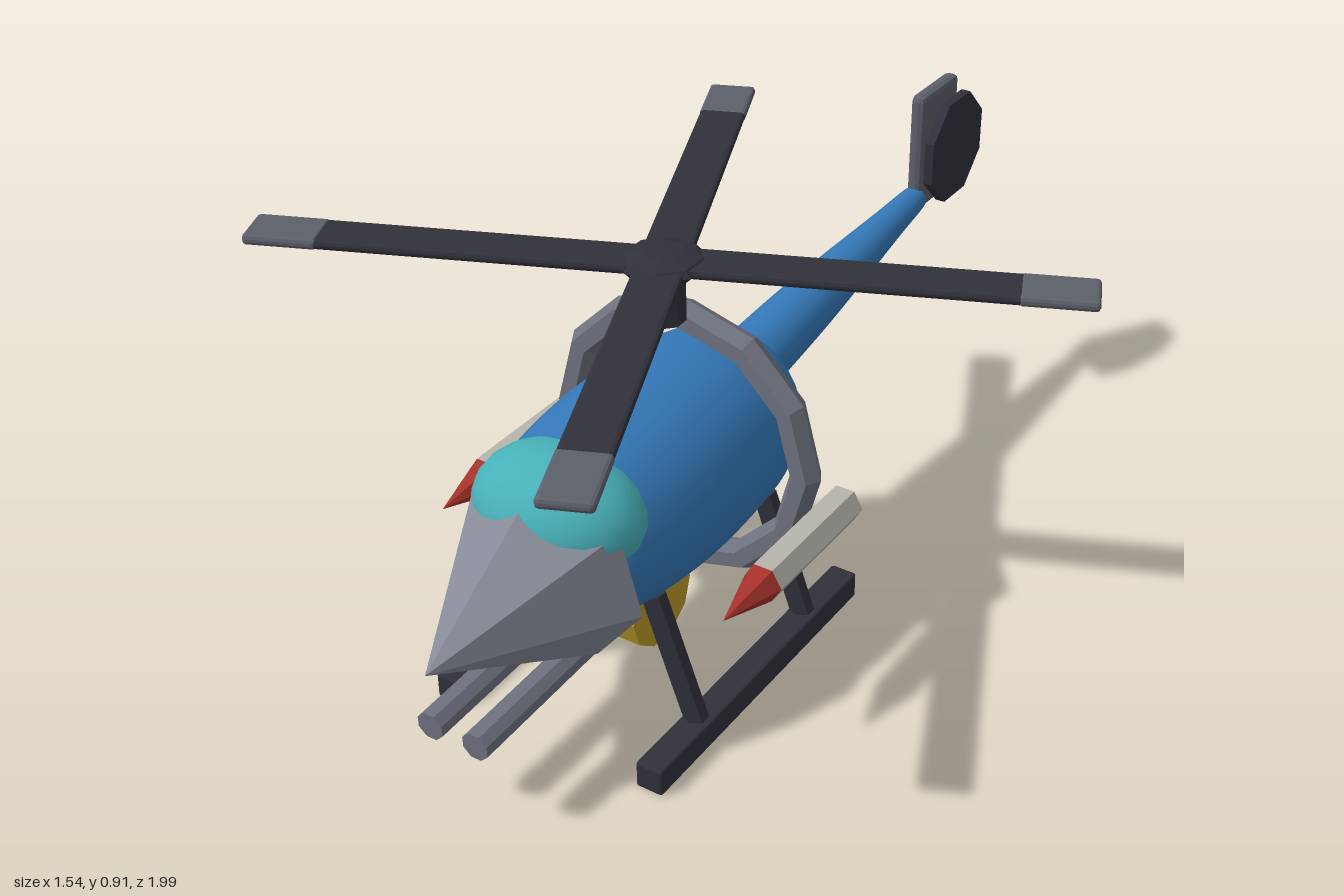
import * as THREE from 'three';
import { RoundedBoxGeometry } from 'three/addons/geometries/RoundedBoxGeometry.js';

const mat = (color, flatShading = true) => new THREE.MeshStandardMaterial({ color, flatShading });
const blue = mat(0x3478b8, false);
const teal = mat(0x48b0b8, false);
const grey = mat(0x6e727e);
const noseGrey = mat(0x858a96);
const dark = mat(0x30313a);
const tipGrey = mat(0x5c606a);
const light = mat(0xb8b5ac);
const red = mat(0xa8322c);
const yellow = mat(0xb8982a);

export function createModel() {
  const model = new THREE.Group();

  const add = (name, geometry, material, x = 0, y = 0, z = 0, parent = model) => {
    const mesh = new THREE.Mesh(geometry, material);
    mesh.name = name;
    mesh.position.set(x, y, z);
    parent.add(mesh);
    return mesh;
  };

  // Cylinder lying along z; the first radius is at the front
  const rodZ = (front, back, length, sides, turn = 0) =>
    new THREE.CylinderGeometry(front, back, length, sides).rotateY(turn).rotateX(Math.PI / 2);

  // Smooth turned body along z from [z, radius] points
  const turnedZ = (points, sides) => {
    const curve = new THREE.SplineCurve(points.map(([z, r]) => new THREE.Vector2(r, z)));
    const profile = curve.getPoints(32).map(p => new THREE.Vector2(Math.max(p.x, 0), p.y));
    return new THREE.LatheGeometry(profile, sides).rotateX(Math.PI / 2);
  };

  // Fuselage, canopy and nose
  add('fuselage', turnedZ([
    [-0.125, 0], [-0.108, 0.07], [-0.07, 0.12], [-0.02, 0.165], [0.05, 0.193], [0.15, 0.208],
    [0.3, 0.214], [0.43, 0.207], [0.53, 0.193], [0.6, 0.172], [0.66, 0.11], [0.68, 0],
  ], 28), blue, 0, 0.45, 0);
  const canopy = add('canopy', new THREE.SphereGeometry(1, 24, 16), teal, 0, 0.522, 0.58);
  canopy.scale.set(0.18, 0.125, 0.14);
  const nose = add('noseCone', rodZ(0, 0.21, 0.37, 7, Math.PI), noseGrey, 0, 0.411, 0.8);
  nose.rotation.x = 0.05;

  // Tail boom, fin and tail rotor disc
  const boom = add('tailBoom', turnedZ([
    [-0.735, 0], [-0.733, 0.024], [-0.71, 0.031], [-0.6, 0.038], [-0.4, 0.053],
    [-0.2, 0.066], [0, 0.073], [0.03, 0.07],
  ], 16), blue, 0, 0.5, -0.08);
  boom.rotation.x = 0.11;
  add('tailFin', new RoundedBoxGeometry(0.036, 0.284, 0.176, 1, 0.014), tipGrey, 0, 0.695, -0.877);
  add('tailRotorDisc',
    new THREE.CylinderGeometry(0.13, 0.13, 0.022, 8).rotateY(Math.PI / 8).rotateZ(Math.PI / 2),
    dark, 0.053, 0.696, -0.878);

  // Hoop around the body
  add('hoop', new THREE.TorusGeometry(0.281, 0.034, 6, 12), grey, 0, 0.453, 0.158);

  // Main rotor
  const rotor = new THREE.Group();
  rotor.name = 'mainRotor';
  rotor.position.set(0, 0.88, 0.228);
  rotor.rotation.y = 0.405;
  model.add(rotor);
  add('mast', new THREE.CylinderGeometry(0.043, 0.043, 0.124, 8), dark, 0, -0.062, 0, rotor);
  const hub = add('hub', new THREE.SphereGeometry(0.087, 8, 6), dark, 0, 0, 0, rotor);
  hub.scale.y = 0.3;
  for (let i = 0; i < 4; i++) {
    const blade = new THREE.Group();
    blade.name = 'rotorBlade';
    blade.rotation.y = i * Math.PI / 2;
    rotor.add(blade);
    add('bladeSpan', new RoundedBoxGeometry(0.68, 0.02, 0.098, 1, 0.008), dark, 0.34, 0, 0, blade);
    add('bladeTip', new RoundedBoxGeometry(0.15, 0.022, 0.1, 1, 0.008), tipGrey, 0.742, 0, 0, blade);
  }

  // Ammunition drum under the belly
  add('drum', new THREE.CylinderGeometry(0.1, 0.1, 0.166, 10).rotateZ(Math.PI / 2),
    yellow, 0, 0.205, 0.375);

  // Mirrored parts
  for (const side of [1, -1]) {
    const barrel = add('gunBarrel', rodZ(0.03, 0.03, 0.56, 8, Math.PI / 8), grey, side * 0.052, 0.231, 0.65);
    barrel.rotation.x = 0.035;

    add('missileBody', rodZ(0.041, 0.041, 0.31, 6, Math.PI / 6), light, side * 0.331, 0.366, 0.243);
    add('missileTip', rodZ(0, 0.041, 0.138, 6, Math.PI / 6), red, side * 0.331, 0.366, 0.467);

    add('skid', new RoundedBoxGeometry(0.06, 0.06, 0.745, 1, 0.006), dark, side * 0.243, 0.031, 0.29);
    for (const z of [0.087, 0.49]) {
      const foot = new THREE.Vector3(side * 0.245, 0.04, z);
      const top = new THREE.Vector3(side * 0.143, 0.32, z);
      const axis = top.clone().sub(foot);
      const mid = foot.clone().add(top).multiplyScalar(0.5);
      const strut = add('skidStrut', new THREE.CylinderGeometry(0.025, 0.025, axis.length(), 6),
        dark, mid.x, mid.y, mid.z);
      strut.quaternion.setFromUnitVectors(new THREE.Vector3(0, 1, 0), axis.normalize());
    }
  }

  return model;
}
